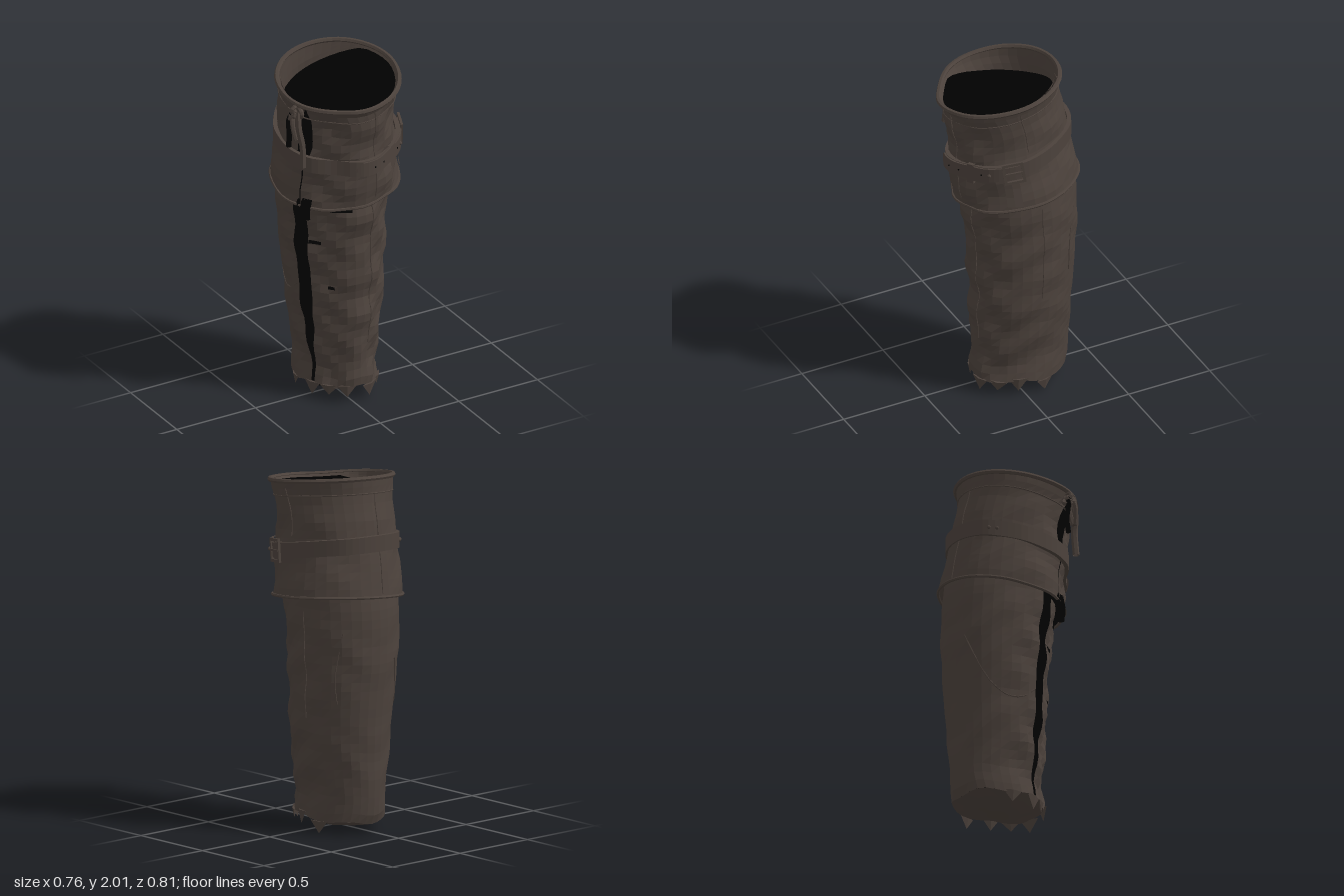
import * as THREE from 'three';

// Profiles: [y, xMin, xMax, zMin, zMax]
const SHAFT = [
  [0.03, -0.2, 0.265, -0.31, 0.22], [0.1, -0.185, 0.25, -0.34, 0.23], [0.2, -0.165, 0.235, -0.35, 0.22],
  [0.4, -0.205, 0.27, -0.355, 0.23], [0.6, -0.225, 0.295, -0.365, 0.235], [0.8, -0.245, 0.305, -0.38, 0.24],
  [1.0, -0.265, 0.31, -0.397, 0.25], [1.25, -0.28, 0.315, -0.392, 0.275], [1.45, -0.28, 0.31, -0.36, 0.28],
];
const CUFF = [
  [1.24, -0.325, 0.365, -0.395, 0.328], [1.34, -0.328, 0.37, -0.395, 0.328], [1.45, -0.318, 0.352, -0.38, 0.335],
  [1.55, -0.312, 0.33, -0.357, 0.342], [1.65, -0.308, 0.316, -0.34, 0.348], [1.75, -0.308, 0.312, -0.325, 0.35],
  [1.83, -0.315, 0.308, -0.302, 0.365], [1.9, -0.338, 0.315, -0.29, 0.4], [2.0, -0.342, 0.338, -0.29, 0.4],
];
const LINING = [...SHAFT, ...CUFF.slice(3)];
const TAU = Math.PI * 2, SLIT = 2.76;
const { lerp, smoothstep, clamp } = THREE.MathUtils;

// Folds are strong at the front and sides and faint at the back
function fold(t, y) {
  const amp = 0.008 + 0.0055 * Math.sin(t);
  return amp * (0.65 * Math.sin(20 * y + 2.6 * Math.sin(3 * t)) + 0.5 * Math.sin(31 * y - 4 * Math.cos(2 * t)));
}

// Point on a profile at angle t and height y, pushed out by off
function pt(table, t, y, off = 0) {
  let i = 0;
  while (i < table.length - 2 && y > table[i + 1][0]) i++;
  const k = clamp((y - table[i][0]) / (table[i + 1][0] - table[i][0]), 0, 1);
  const [, x0, x1, z0, z1] = table[i].map((a, j) => lerp(a, table[i + 1][j], k));
  const flat = 1 - 0.08 * Math.exp(-(((((t % TAU) + TAU) % TAU) - 2.25) ** 2) / 0.16);
  const d = off + fold(t, y) * (1 - 0.7 * smoothstep(y, 1.78, 1.9));
  return new THREE.Vector3(
    (x0 + x1) / 2 + ((x1 - x0) / 2 * flat + d) * Math.cos(t), y,
    (z0 + z1) / 2 + ((z1 - z0) / 2 * flat + d) * Math.sin(t));
}

// Height of a tilted ring: y = base + a*x + b*z
const tilt = (base, a, b) => t => base + a * 0.33 * Math.cos(t) + b * 0.36 * Math.sin(t);
const rimY = tilt(1.941, 0.07, -0.135), hemY = tilt(1.3, 0.1, -0.115), beltY = tilt(1.575, 0.04, -0.165);
const bottomY = t => 0.08 + 0.015 * Math.sin(t) + 0.01 * Math.sin(5 * t);

export function createModel() {
  const model = new THREE.Group();
  const colour = (name, color) => {
    const m = new THREE.MeshStandardMaterial({ color, side: THREE.DoubleSide });
    m.name = name;
    return m;
  };
  const leather = colour('brown leather', 0x4c423c);
  const dark = colour('black lining', 0x010101);

  function add(name, geo, mat, parent = model) {
    const g = geo.index ? geo.toNonIndexed() : geo;
    g.computeVertexNormals();
    const mesh = new THREE.Mesh(g, mat);
    mesh.name = name;
    parent.add(mesh);
    return mesh;
  }

  // Faceted sheet from a rule fn(u, v)
  function sheet(name, nu, nv, fn, mat = leather) {
    const pos = [], index = [];
    for (let i = 0; i <= nu; i++) for (let j = 0; j <= nv; j++) pos.push(...fn(i / nu, j / nv).toArray());
    for (let i = 0; i < nu; i++) for (let j = 0; j < nv; j++) {
      const a = i * (nv + 1) + j, b = a + nv + 1;
      index.push(a, a + 1, b, b, a + 1, b + 1);
    }
    const g = new THREE.BufferGeometry();
    g.setAttribute('position', new THREE.Float32BufferAttribute(pos, 3));
    g.setIndex(index);
    return add(name, g, mat);
  }

  // Tube through points
  const cord = (name, pts, r, mat = leather, closed = false, n = 24) =>
    add(name, new THREE.TubeGeometry(new THREE.CatmullRomCurve3(pts, closed), n, r, 6, closed), mat);
  const ring = (fn, n = 40) => Array.from({ length: n }, (_, i) => fn(i / n * TAU));

  // Strap of rectangular section lying on the cuff
  function strap(name, t0, t1, half, inner, outer, n) {
    const section = [[-1, inner], [-1, outer], [1, outer], [1, inner], [-1, inner]];
    return sheet(name, n, 4, (u, v) => {
      const t = t0 + (t1 - t0) * u, [s, o] = section[Math.round(v * 4)];
      const p = pt(CUFF, t, beltY(t), o);
      p.y += s * half;
      return p;
    });
  }

  // Shaft, open along a long side slit that shows the dark panel behind it
  sheet('shaft', 32, 26, (u, v) => {
    const gap = 0.04 + 0.1 * smoothstep(lerp(0.07, 1.37, v), 0.1, 0.6);
    const t = SLIT + gap + (TAU - 2 * gap) * u;
    return pt(SHAFT, t, lerp(bottomY(t), 1.37, v));
  });
  sheet('slitPanel', 4, 26, (u, v) => pt(SHAFT, SLIT - 0.19 + 0.38 * u, lerp(0.08, 1.33, v), -0.007), dark);
  sheet('bottom', 32, 4, (u, v) => {
    const t = u * TAU, p = pt(SHAFT, t, bottomY(t)), y = lerp(p.y, 0.014, Math.sin(v * Math.PI / 2));
    return p.lerp(new THREE.Vector3(0.03, 0, -0.06), v).setY(y);
  });

  // Cuff, split only above the belt
  sheet('cuff', 34, 14, (u, v) => {
    const mid = lerp(1.27, 1.9, v);
    const gap = 0.01 + 0.12 * smoothstep(mid, 1.5, 1.62) * (1 - smoothstep(mid, 1.78, 1.88));
    const t = SLIT - 0.06 + gap + (TAU - 2 * gap) * u;
    return pt(CUFF, t, lerp(hemY(t), rimY(t), v));
  });
  // Underside of the cuff hangs open at the front, closed elsewhere
  const underside = (t0, t1, n, mat) => sheet('cuffUnderside', n, 1, (u, v) => {
    const t = lerp(t0, t1, u);
    return pt(v ? SHAFT : CUFF, t, hemY(t) + 0.03 * v);
  }, mat);
  underside(0.4, 2.9, 14, dark);
  underside(2.9, 0.4 + TAU, 20, leather);
  cord('cuffHem', ring(t => pt(CUFF, t, hemY(t), 0.001)), 0.009, leather, true, 60);
  cord('rimHem', ring(t => pt(CUFF, t, rimY(t), 0.001)), 0.014, leather, true, 60);
  cord('rimStitch', ring(t => pt(CUFF, t, rimY(t) - 0.085)), 0.004, leather, true, 60);

  // Inside: a leather facing at the rim, deepest at the back right, then the lining
  const facing = t => 0.012 + 0.13 * Math.max(0, Math.cos(t - 4.1));
  const inset = t => -0.014 - 0.014 * Math.max(0, -Math.sin(t));
  sheet('rimFacing', 38, 3, (u, v) => {
    const t = u * TAU;
    return pt(CUFF, t, rimY(t) - v * facing(t), inset(t) - 0.004 * v);
  });
  sheet('lining', 38, 34, (u, v) => {
    const t = u * TAU;
    return pt(LINING, t, lerp(0.12, rimY(t) - facing(t), v), inset(t) - 0.004);
  }, dark);
  sheet('liningFloor', 38, 1, (u, v) => pt(LINING, u * TAU, 0.12, -0.015).lerp(new THREE.Vector3(0.03, 0.12, -0.05), v), dark);

  // Belt, its overlapping end, loop and pointed tip
  strap('belt', 0, TAU, 0.045, -0.005, 0.018, 60);
  strap('beltEnd', 0.25, 1.68, 0.042, 0.015, 0.028, 18);
  strap('beltLoop', 0.98, 1.1, 0.06, 0.015, 0.038, 2);
  sheet('beltTip', 3, 1, (u, v) => {
    const t = 1.68 + 0.14 * u, p = pt(CUFF, t, beltY(t), 0.028);
    p.y += (v * 2 - 1) * 0.042 * (1 - u);
    return p;
  });

  // Buckle: square frame and prong
  const buckle = new THREE.Group();
  buckle.name = 'buckle';
  const bt = 0.35;
  buckle.position.copy(pt(CUFF, bt, beltY(bt), 0.02));
  buckle.rotation.set(0, Math.PI / 2 - bt, 0.15);
  const box = (s, w, h) => s.moveTo(-w, -h).lineTo(w, -h).lineTo(w, h).lineTo(-w, h).closePath();
  const frame = box(new THREE.Shape(), 0.06, 0.066);
  frame.holes.push(box(new THREE.Path(), 0.044, 0.05));
  add('buckleFrame', new THREE.ExtrudeGeometry(frame, { depth: 0.014, bevelEnabled: false }), leather, buckle);
  add('buckleProng', new THREE.BoxGeometry(0.1, 0.012, 0.01), leather, buckle).position.z = 0.012;
  model.add(buckle);

  // Rivets and belt holes
  for (const t of [0.72, 3.95, 4.08]) {
    add('rivet', new THREE.SphereGeometry(0.011, 8, 6), leather).position.copy(pt(CUFF, t, beltY(t), t < 1 ? 0.028 : 0.018));
  }
  for (const t of [0.85, 1.28, 1.48]) {
    add('beltHole', new THREE.SphereGeometry(0.006, 6, 4), dark).position.copy(pt(CUFF, t, beltY(t), 0.026));
  }

  // Raised seams and tabs
  const seam = (name, table, path) => cord(name, path.map(([t, y]) => pt(table, t, y)), 0.004);
  const line = (t, y0, y1, n = 10) => Array.from({ length: n }, (_, i) => [t, y0 + (y1 - y0) * i / (n - 1)]);
  seam('frontSeam', SHAFT, line(1.32, 0.35, 1.24, 14));
  seam('sideSeam', SHAFT, line(-0.02, 0.65, 1.25));
  seam('backCuffSeam', CUFF, line(4.7, 1.36, 1.9));
  seam('frontCuffSeam', CUFF, line(1.4, 1.3, 1.85));
  seam('sideCuffSeam', CUFF, line(0.05, 1.66, 1.92, 6));
  seam('panelSeam', SHAFT, [[4.35, 0.98], [4.15, 0.85], [3.85, 0.7], [3.5, 0.63], [3.2, 0.64], [2.95, 0.7]]);
  seam('rearSeam', SHAFT, [[5.5, 1.15], [5.6, 1.02], [5.65, 0.88], [5.6, 0.75]]);
  sheet('cuffTab', 2, 3, (u, v) => pt(CUFF, 0.3 + 0.24 * u, 1.34 + 0.17 * v, 0.01));

  // Dark gaps: under the cuff and nicks beside the slit
  const nick = (name, t, y, w, h) => sheet(name, 3, 1, (u, v) => pt(SHAFT, t + w * u, y + h * v, 0.008), dark);
  nick('underCuffGap', 1.76, 1.205, 0.42, 0.07);
  nick('slitNick', 2.35, 0.985, 0.25, 0.02);
  nick('slitNick', 2.12, 0.705, 0.14, 0.018);

  // Loose lace ends below the cuff
  const V = (x, y, z) => new THREE.Vector3(x, y, z);
  for (const [dx, dz, end] of [[0, 0, 1.13], [0.02, 0.035, 1.18], [-0.012, -0.025, 1.15], [0.008, 0.02, 1.14]]) {
    cord('laceEnd', [V(-0.265 + dx, 1.3, 0.13 + dz), V(-0.285 + dx, 1.22, 0.13 + dz), V(-0.282 + dx, end, 0.13 + dz)], 0.012, dark, false, 6);
  }

  // Knotted tie hanging from the rim
  for (const [x, y, z, r] of [[-0.335, 1.87, 0.14, 0.4], [-0.35, 1.85, 0.15, 1.5], [-0.32, 1.86, 0.18, 2.4], [-0.345, 1.83, 0.13, 0.9]]) {
    const loop = add('tieKnot', new THREE.TorusGeometry(0.022, 0.012, 6, 10), leather);
    loop.position.set(x, y, z);
    loop.rotation.set(r, r * 0.7, 0);
  }
  cord('tieStrandLeft', [V(-0.345, 1.86, 0.14), V(-0.362, 1.8, 0.125), V(-0.355, 1.72, 0.12), V(-0.362, 1.64, 0.125)], 0.015, dark);
  cord('tieStrandRight', [V(-0.33, 1.87, 0.17), V(-0.335, 1.77, 0.19), V(-0.318, 1.66, 0.2), V(-0.32, 1.54, 0.21)], 0.019);
  cord('tieLoop', [V(-0.34, 1.87, 0.15), V(-0.365, 1.81, 0.17), V(-0.345, 1.7, 0.18), V(-0.325, 1.8, 0.16), V(-0.335, 1.86, 0.15)], 0.013);

  // Torn scraps along the front and side edges
  [-0.25, 0.35, 0.8, 1.25, 1.9, 2.35, 2.8, 3.4].forEach((t, i) => {
    const p = pt(SHAFT, t, bottomY(t), -0.004), h = 0.07 + 0.012 * Math.sin(i * 2.3);
    const scrap = add('tornScrap', new THREE.ConeGeometry(0.055, h, 4), leather);
    scrap.position.set(p.x, Math.max(h / 2, p.y - h / 2 + (i % 3 ? 0.012 : 0)), p.z);
    scrap.rotation.set(Math.PI, t - Math.PI / 2, 0);
    scrap.scale.z = 0.25;
  });
  return model;
}
